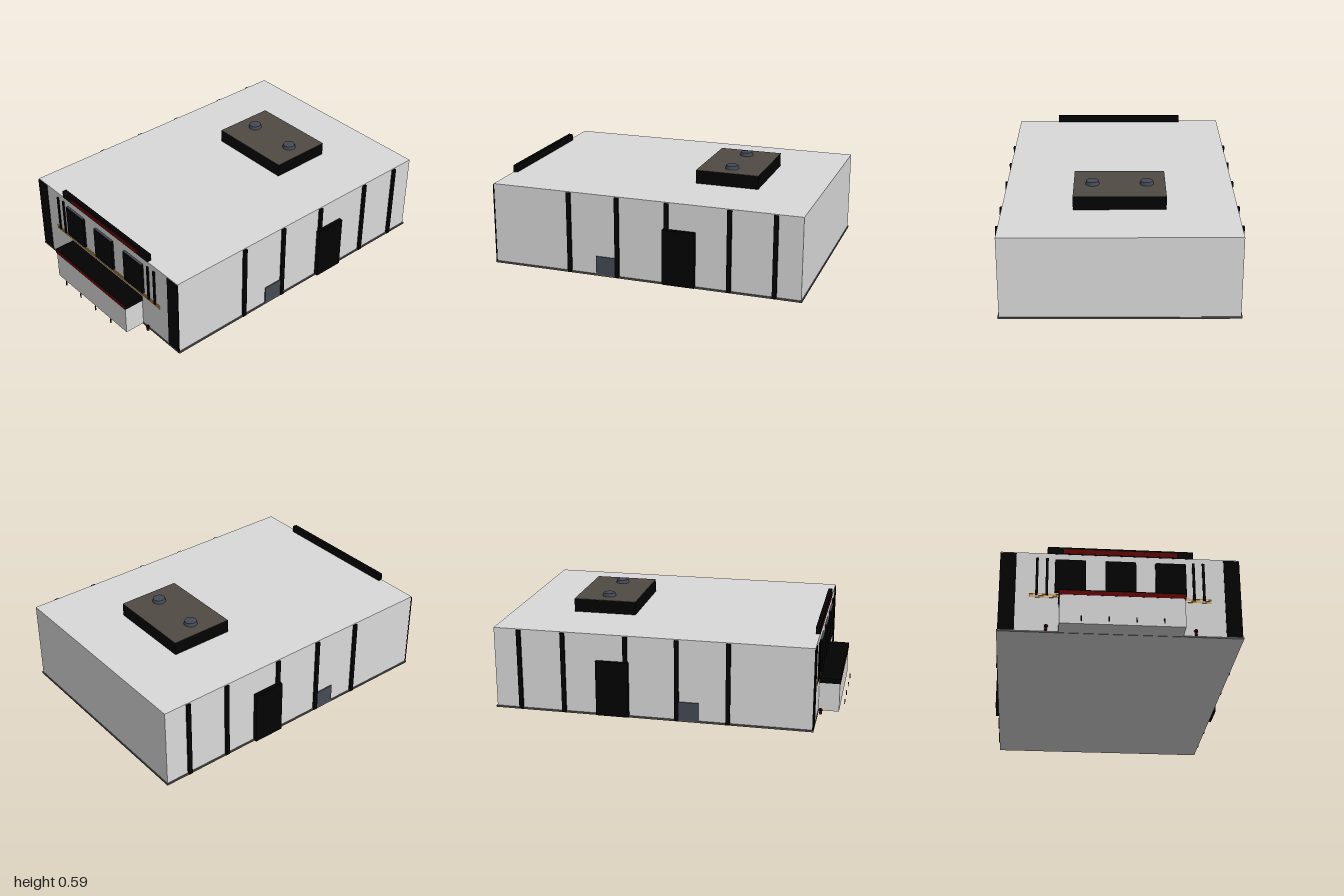
import * as THREE from 'three';

const mat = (name, color) => {
  const m = new THREE.MeshStandardMaterial({ color });
  m.name = name;
  return m;
};

export function createModel() {
  const wall = mat('wall grey', 0xdadada);
  const black = mat('black trim', 0x020202);
  const red = mat('dark red', 0x600404);
  const base = mat('foundation grey', 0x555555);
  const brown = mat('roof unit brown', 0x504a44);
  const slate = mat('slate metal', 0x444a55);
  const orange = mat('warm orange', 0xcc8822);

  const model = new THREE.Group();
  model.name = 'building';

  const add = (name, geometry, material) => {
    const mesh = new THREE.Mesh(geometry, material);
    mesh.name = name;
    model.add(mesh);
    return mesh;
  };
  // Box given by its lower and upper limits on each axis
  const box = (name, material, [x0, x1], [y0, y1], [z0, z1]) =>
    add(name, new THREE.BoxGeometry(x1 - x0, y1 - y0, z1 - z0), material)
      .position.set((x0 + x1) / 2, (y0 + y1) / 2, (z0 + z1) / 2);
  const span = (c, w) => [c - w / 2, c + w / 2];
  const side = (s, a, b) => (s > 0 ? [a, b] : [-b, -a]);

  // Foundation with a light underside, and main hall
  box('foundation', [base, base, base, wall, base, base],
    [-0.669, 0.669], [0, 0.01], [-1, 0.857]);
  box('hall', wall, [-0.662, 0.662], [0.01, 0.488], [-0.995, 0.853]);

  // Rooftop unit with two fans
  box('roofUnit', black, [-0.262, 0.262], [0.488, 0.566], [-0.632, -0.257]);
  box('roofUnitLid', brown, [-0.262, 0.262], [0.566, 0.568], [-0.632, -0.257]);
  for (const x of [-0.155, 0.155]) {
    add('roofFan', new THREE.CylinderGeometry(0.035, 0.04, 0.02, 20), slate)
      .position.set(x, 0.578, -0.445);
  }

  // Fascia above the front
  box('fascia', black, [-0.405, 0.405], [0.485, 0.53], [0.828, 0.854]);
  box('fasciaStripe', red, [-0.315, 0.315], [0.49, 0.518], [0.854, 0.856]);

  // Front windows
  for (const x of [-0.277, 0, 0.277]) {
    box('window', black, span(x, 0.17), [0.243, 0.443], [0.853, 0.868]);
    box('windowHead', slate, span(x, 0.16), [0.443, 0.446], [0.853, 0.866]);
  }

  // Fine orange lines between the windows and the canopy
  for (const y of [0.214, 0.224, 0.234]) {
    box('frontLine', orange, [-0.5, 0.5], span(y, 0.004), [0.853, 0.855]);
  }

  // Entrance porch with canopy
  box('porch', wall, [-0.338, 0.338], [0.002, 0.173], [0.853, 0.973]);
  box('canopy', black, [-0.342, 0.342], [0.173, 0.202], [0.853, 0.975]);
  box('canopyStripe', red, [-0.342, 0.342], [0.171, 0.196], [0.975, 0.976]);

  // Short posts before the porch
  for (const x of [-0.222, -0.075, 0.072, 0.22]) {
    box('post', black, span(x, 0.007), [0.008, 0.037], [0.995, 1]);
  }

  for (const s of [-1, 1]) {
    // Front corner panels and narrow vertical strips
    box('cornerPanel', black, side(s, 0.575, 0.664), [0.01, 0.482], [0.85, 0.857]);
    for (const x of [0.405, 0.46]) {
      box('frontStrip', black, span(s * x, 0.014), [0.226, 0.456], [0.853, 0.861]);
    }

    // Small hydrants
    add('hydrantBody', new THREE.CylinderGeometry(0.007, 0.008, 0.022, 12), red)
      .position.set(s * 0.405, 0.017, 0.872);
    add('hydrantCap', new THREE.SphereGeometry(0.011, 12, 8), black)
      .position.set(s * 0.405, 0.031, 0.872);

    // Side wall ribs
    for (const z of [0.375, 0.08, -0.217, -0.584, -0.845]) {
      box('sideRib', black, side(s, 0.655, 0.675), [0.004, 0.483], span(z, 0.025));
    }

    // Side door and low cabinet
    box('sideDoor', black, side(s, 0.655, 0.687), [0.006, 0.332], [-0.388, -0.198]);
    box('sideCabinet', slate, side(s, 0.655, 0.669), [0.01, 0.118], [0.08, 0.21]);
  }

  return model;
}
